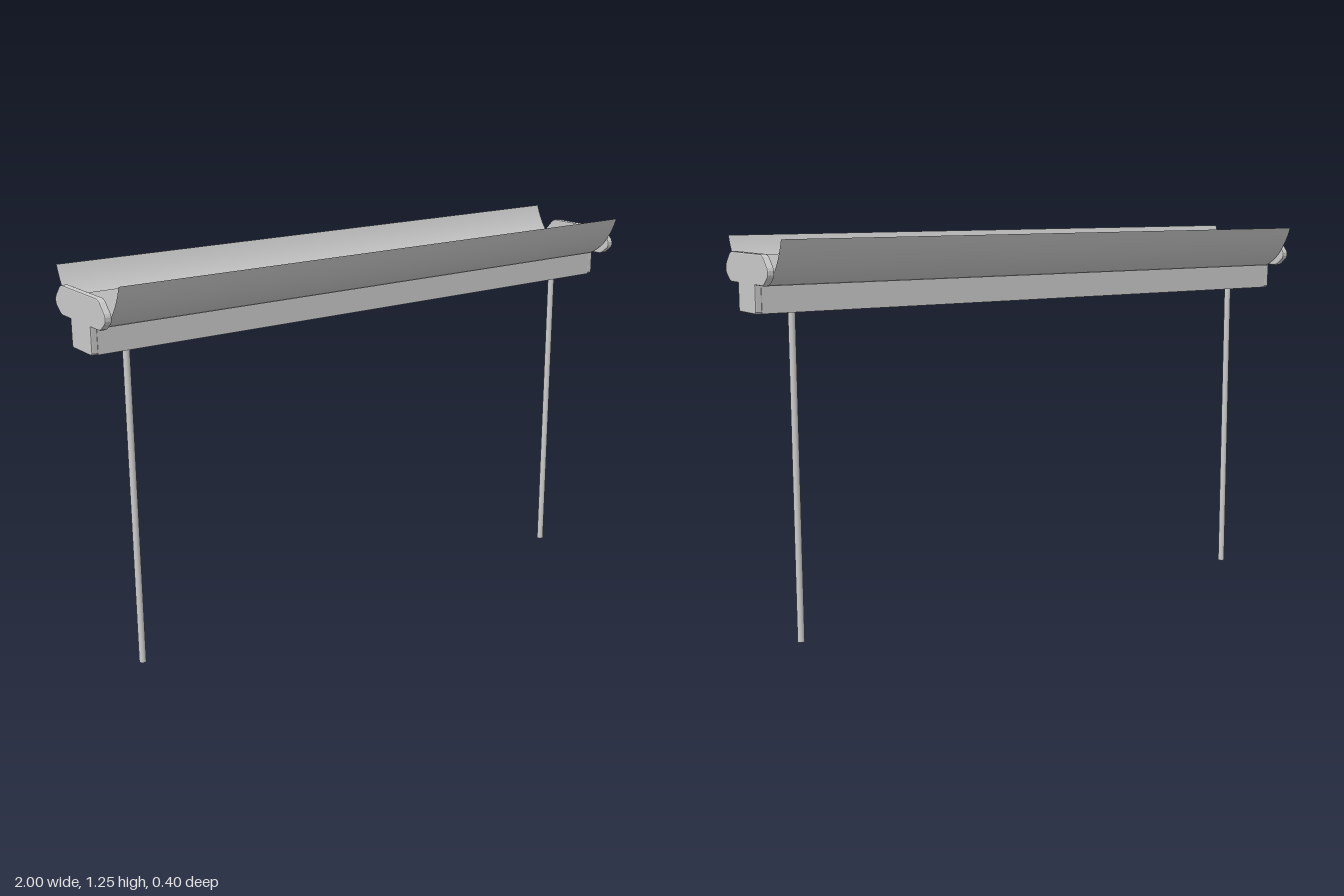
import * as THREE from 'three';

const grey = new THREE.MeshStandardMaterial({ color: 0xcccccc });
const thin = new THREE.MeshStandardMaterial({ color: 0xcccccc, side: THREE.DoubleSide });

function add(group, name, geometry, material = grey) {
  const mesh = new THREE.Mesh(geometry, material);
  mesh.name = name;
  group.add(mesh);
  return mesh;
}

// Extrudes a (depth, height) outline along x, centred on x = 0
function extrudeAlongX(points, length, bevel = 0) {
  const shape = new THREE.Shape(points.map(([z, y]) => new THREE.Vector2(z, y)));
  const geometry = new THREE.ExtrudeGeometry(shape, {
    depth: length - 2 * bevel,
    bevelEnabled: bevel > 0,
    bevelThickness: bevel,
    bevelSize: bevel,
    bevelOffset: -bevel,
    bevelSegments: 2,
  });
  geometry.translate(0, 0, -length / 2 + bevel);
  return geometry.rotateY(Math.PI / 2);
}

// Completes a half outline by mirroring it across z = 0
const mirrored = (half) => [...half, ...half.map(([z, y]) => [-z, y]).reverse()];

// Thin curved reflector sheet; side is +1 for front, -1 for back
function reflectorSheet(side) {
  const curve = new THREE.QuadraticBezierCurve(
    new THREE.Vector2(0.085, 1.114),
    new THREE.Vector2(0.165, 1.15),
    new THREE.Vector2(0.2, 1.25)
  );
  const geometry = new THREE.PlaneGeometry(1.944, 1, 1, 16);
  const pos = geometry.attributes.position;
  for (let i = 0; i < pos.count; i++) {
    const p = curve.getPoint(0.5 + side * -pos.getY(i));
    pos.setY(i, p.y);
    pos.setZ(i, side * p.x);
  }
  geometry.computeVertexNormals();
  return geometry;
}

export function createModel() {
  const model = new THREE.Group();
  model.name = 'hangingTroughLight';

  // Long housing
  add(model, 'housing', new THREE.BoxGeometry(1.96, 0.084, 0.13)).position.y = 1.073;

  // Flat tray and the ridge running along its middle
  add(model, 'tray', new THREE.BoxGeometry(1.944, 0.004, 0.17)).position.y = 1.114;
  add(model, 'ridge', extrudeAlongX([[0.046, 1.115], [0, 1.2], [-0.046, 1.115]], 1.944));

  // Curved reflectors, front and back
  add(model, 'frontReflector', reflectorSheet(1), thin);
  add(model, 'backReflector', reflectorSheet(-1), thin);

  // T-shaped end caps with softened edges, and the two posts
  const capOutline = mirrored([
    [0.058, 1.03], [0.064, 1.036], [0.064, 1.115], [0.12, 1.115], [0.133, 1.12],
    [0.157, 1.139], [0.161, 1.148], [0.161, 1.16], [0.157, 1.169],
    [0.13, 1.198], [0.12, 1.204], [0.11, 1.206],
  ]);
  for (const [side, label] of [[1, 'left'], [-1, 'right']]) {
    add(model, label + 'EndCap', extrudeAlongX(capOutline, 0.022, 0.004)).position.x = side * 0.989;
    add(model, label + 'Post', new THREE.CylinderGeometry(0.011, 0.011, 1.035, 24))
      .position.set(side * 0.86, 0.5175, 0);
  }
  return model;
}
